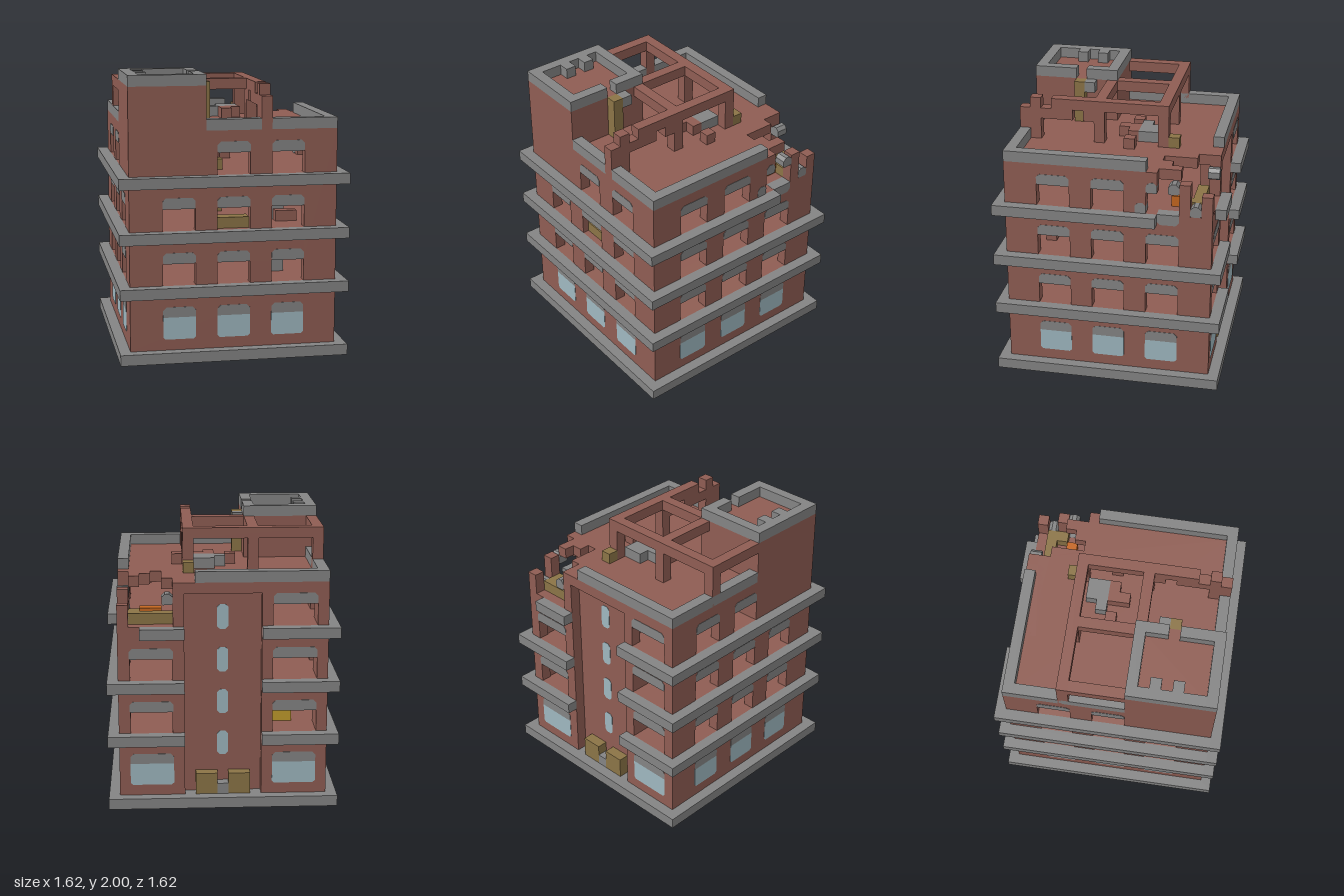
import * as THREE from 'three';

const mat = (name, hex) => {
  const m = new THREE.MeshStandardMaterial({ color: hex });
  m.name = name;
  return m;
};

export function createModel() {
  const brick = mat('brick', 0x8f5d53), stone = mat('stone', 0x848484), glass = mat('glass', 0x9fb8c0),
    wood = mat('wood', 0x8b7446), yellow = mat('yellow', 0xc09a2c), orange = mat('orange', 0xc4661f);
  const root = new THREE.Group();
  root.name = 'ruinedBuilding';
  root.scale.setScalar(1 / 13); // everything below is in block units

  const add = (name, m, g) => {
    const mesh = new THREE.Mesh(g, m);
    mesh.name = name;
    root.add(mesh);
  };
  const box = (name, m, x0, x1, y0, y1, z0, z1) => {
    const g = new THREE.BoxGeometry(x1 - x0, y1 - y0, z1 - z0);
    g.translate((x0 + x1) / 2, (y0 + y1) / 2, (z0 + z1) / 2);
    add(name, m, g);
  };
  const V = (pts) => pts.map(([a, b]) => new THREE.Vector2(a, b));
  const rect = (a0, a1, y0, y1) => [[a0, y0], [a1, y0], [a1, y1], [a0, y1]];
  // rectangle with bevelled bottom (b) and top (t) corners
  const bevel = (a0, a1, y0, y1, b, t) => [
    [a0 + b, y0], [a1 - b, y0], [a1, y0 + b], [a1, y1 - t],
    [a1 - t, y1], [a0 + t, y1], [a0, y1 - t], [a0, y0 + b]
  ].filter((p, i, l) => i === 0 || p[0] !== l[i - 1][0] || p[1] !== l[i - 1][1]);
  // upright panel: outline runs along x ('z' panels) or along z ('x' panels), from pos to pos + depth
  const panel = (name, m, axis, pos, outline, holes = [], depth = 1) => {
    const s = new THREE.Shape(V(outline));
    holes.forEach((h) => s.holes.push(new THREE.Path(V(h))));
    const g = new THREE.ExtrudeGeometry(s, { depth, bevelEnabled: false });
    if (axis === 'x') { g.rotateY(-Math.PI / 2); g.translate(pos + depth, 0, 0); }
    else if (axis === 'y') { g.rotateX(Math.PI / 2); g.translate(0, pos + depth, 0); }
    else g.translate(0, 0, pos);
    add(name, m, g);
  };

  // Base and storeys
  box('baseSlab', stone, -10.5, 10.5, 0, 1, -10.5, 10.5);
  const floors = [7, 12, 17];
  floors.forEach((f) => {
    const ruined = f === 17;
    box('floorSlab', brick, -8.5, 8.5, f - 1, f, -8.5, 8.5);
    box('frontBand', stone, -10.5, 10.5, f - 1, f, 9.5, 10.5);
    box('leftSideBand', stone, -10.5, -9.5, f - 1, f, -10.5, 9.5);
    box('rightSideBand', stone, 9.5, 10.5, f - 1, f, ruined ? -4.5 : -10.5, 9.5);
    box('backBand', stone, -9.5, -3.5, f - 1, f, -10.5, -9.5);
    box('backBand', stone, 3.5, ruined ? 7.5 : 9.5, f - 1, f, -10.5, -9.5);
  });

  // Outer walls with window openings
  const openings = (list, fs = floors) => fs.flatMap((f) => list.map(([a, b]) => rect(a, b, f, f + 2)));
  const bays = [[-6.5, -3.5], [-1.5, 1.5], [3.5, 6.5]];
  const low = [7, 12], top = [17];
  panel('frontWall', brick, 'z', 8.5, rect(-9.5, 9.5, 1, 21),
    [...openings(bays, low), ...openings(bays.slice(1), top)]);
  panel('leftWall', brick, 'x', -9.5, rect(-8.5, 8.5, 1, 21),
    [...openings(bays, low), ...openings(bays.slice(0, 2), top)]);
  panel('rightWall', brick, 'x', 8.5, [[-9.5, 1], [8.5, 1], [8.5, 21], [-4.5, 21], [-4.5, 19], [-3.5, 19],
    [-3.5, 17], [-6.5, 17], [-6.5, 20], [-7.5, 20], [-7.5, 17], [-8.5, 17], [-8.5, 19], [-9.5, 19]],
  [...openings(bays, low), ...openings(bays.slice(1), top)]);
  panel('backWall', brick, 'z', -9.5, rect(-9.5, -3.5, 1, 21), openings([[-8.5, -4.5]]));
  panel('ruinedBackWall', brick, 'z', -9.5,
    [[3.5, 1], [8.5, 1], [8.5, 17], [4.5, 17], [4.5, 21], [3.5, 21]], openings([[4.6, 8.4]], low));

  // Lintels and ground-floor glass, a hair proud of both wall faces
  const e = 0.03, d = 1 + 2 * e;
  const lintel = (axis, pos, a, b, y) => panel('lintel', stone, axis, pos - e, bevel(a, b, y, y + 1, 0.12, 0.3), [], d);
  const shopWindow = (axis, pos, a, b) => {
    panel('shopWindow', glass, axis, pos - e, bevel(a, b, 2, 4.05, 0.2, 0), [], d);
    panel('shopLintel', stone, axis, pos - e, bevel(a, b, 4.05, 5, 0, 0.3), [], d);
  };
  [['z', 8.5], ['x', -9.5], ['x', 8.5]].forEach(([axis, pos], side) => bays.forEach(([a, b], i) => {
    shopWindow(axis, pos, a, b);
    low.forEach((f) => lintel(axis, pos, a, b, f + 2));
    const missing = [0, 2, 0][side];
    if (i !== missing) lintel(axis, pos, a, b, 19);
  }));
  [[-8.5, -4.5], [4.5, 8.5]].forEach(([a, b], i) => {
    shopWindow('z', -9.5, a, b);
    (i ? low : floors).forEach((f) => lintel('z', -9.5, a, b, f + 2));
  });
  // Broken remains of stonework at the ruined corner
  lintel('x', 8.5, -4.5, -3.5, 19);
  lintel('x', 8.5, -6.5, -5.5, 19);
  lintel('x', 8.5, -8.5, -7.5, 17);
  lintel('x', 8.5, -3.5, -2.5, 17);
  lintel('z', -9.5, 4.5, 5.5, 19);
  panel('brokenBand', stone, 'x', 8.5 - e, bevel(-6.5, -4.5, 16, 17.02, 0.3, 0), [], d);

  // Recessed stair shaft at the back
  box('stairShaft', brick, -3.5, 3.5, 1, 21, -8.5, -7.5);
  box('shaftOverhang', brick, -3.5, 3.5, 20, 21, -9.5, -8.5);
  for (let k = 0; k < 4; k++)
    panel('shaftWindow', glass, 'z', -8.5 - e, bevel(-0.5, 0.5, 4.5 + 4 * k, 6.8 + 4 * k, 0.25, 0.25), [], d);
  [-1, 1].forEach((s) => {
    box('shaftSideWall', brick, s * 4 - 0.5, s * 4 + 0.5, 7, 16, -8.5, -6.5);
    box('backCrate', wood, s * 1.5 - 1, s * 1.5 + 1, 1, 3, -9.5, -8.5);
  });
  box('backStep', stone, -0.5, 0.5, 1, 2, -9.5, -8.5);

  // Roof with the broken corner
  panel('roof', brick, 'y', 20, [[-8.5, 8.5], [8.5, 8.5], [8.5, -6.5], [7.5, -6.5], [7.5, -5.5], [6.5, -5.5],
    [6.5, -4.5], [5.5, -4.5], [5.5, -7.5], [4.5, -7.5], [4.5, -8.5], [-8.5, -8.5]]);
  [[-2.5, 2.5, 8.5, 9.5], [3.5, 9.5, 8.5, 9.5], [8.5, 9.5, -3.5, 8.5], [-9.5, 2.5, -9.5, -8.5],
    [-9.5, -8.5, -8.5, 1.5]].forEach(([a, b, c, f]) => box('parapet', stone, a, b, 21, 22, c, f));

  // Corner tower
  box('tower', brick, -9.5, -2.5, 17, 25, 1.5, 9.5);
  [[-9.5, -2.5, 8.5, 9.5], [-9.5, -2.5, 1.5, 2.5], [-9.5, -8.5, 2.5, 8.5], [-3.5, -2.5, 2.5, 4.5],
    [-3.5, -2.5, 5.5, 8.5], [-8.5, -7.5, 3.5, 4.5], [-8.5, -7.5, 5.5, 6.5]]
    .forEach(([a, b, c, f]) => box('towerParapet', stone, a, b, 25, 26, c, f));
  box('towerDoor', wood, -2.5, -1.5, 21, 25, 4.5, 5.5);
  box('towerLedge', stone, -2.5, -1.5, 24, 25, 3.5, 4.5);

  // Open frame of the missing top storey
  box('backBeam', brick, -9.5, 3.5, 24, 25, -4.5, -3.5);
  box('frontBeam', brick, -2.5, 2.5, 24, 25, 1.5, 2.5);
  [-9, -3, 3].forEach((x) => {
    box('crossBeam', brick, x - 0.5, x + 0.5, 24, 25, -3.5, 1.5);
    box('framePost', brick, x - 0.5, x + 0.5, 21, 24, -4.5, -3.5);
  });
  panel('brokenWall', brick, 'x', 2.5, [[1.5, 21], [2.5, 21], [2.5, 23], [3.5, 23], [3.5, 24], [4.5, 24], [4.5, 23],
    [7.5, 23], [7.5, 21], [9.5, 21], [9.5, 24], [8.5, 24], [8.5, 25], [7.5, 25], [7.5, 24], [6.5, 24], [6.5, 25],
    [1.5, 25]]);

  // Rubble on the roof
  box('roofCrate', wood, 2.5, 3.5, 21, 22, -5.5, -4.5);
  box('rubble', stone, 0.5, 2.5, 21, 22, -3.5, -2.5);
  box('rubble', stone, -0.5, 2.5, 21, 22, -2.5, -1.5);
  [[0.5, 2.5, -1.5, -0.5], [0.5, 1.5, -0.5, 0.5], [-1.5, -0.5, -1.5, -0.5], [3.5, 4.5, -1.5, -0.5]]
    .forEach(([a, b, c, f]) => box('brickRubble', brick, a, b, 21, 22, c, f));

  // Furniture and debris inside
  box('yellowSofa', yellow, -6.5, -4.5, 7, 8, -6.5, -4.5);
  box('orangeSofa', orange, 5.5, 7.5, 17, 18, -6.5, -5.5);
  box('shelf', wood, 4.5, 8.5, 17, 18, -8.5, -7.5);
  box('shelfEnd', wood, 7.5, 8.5, 17, 18, -7.5, -6.5);
  box('counter', wood, -1.5, 1.5, 12, 13, 7.5, 8.9);
  box('stool', wood, -0.5, 0.5, 12, 13, -0.5, 0.5);
  box('crate', wood, -1.5, -0.5, 17, 18, 5.5, 6.5);
  box('stonePillar', stone, 3.5, 5.5, 7, 9.5, 3.5, 5.5);
  box('stonePillar', stone, 3.5, 4.5, 12, 14.5, 3.5, 5.5);
  box('stoneLedge', stone, 4.5, 5.5, 13, 14.5, 3.5, 5.5);
  box('brickPile', brick, 4.5, 6.5, 12, 13, 5.5, 6.5);
  box('brickPile', brick, 0.5, 1.5, 17, 18, -1.5, -0.5);
  return root;
}
